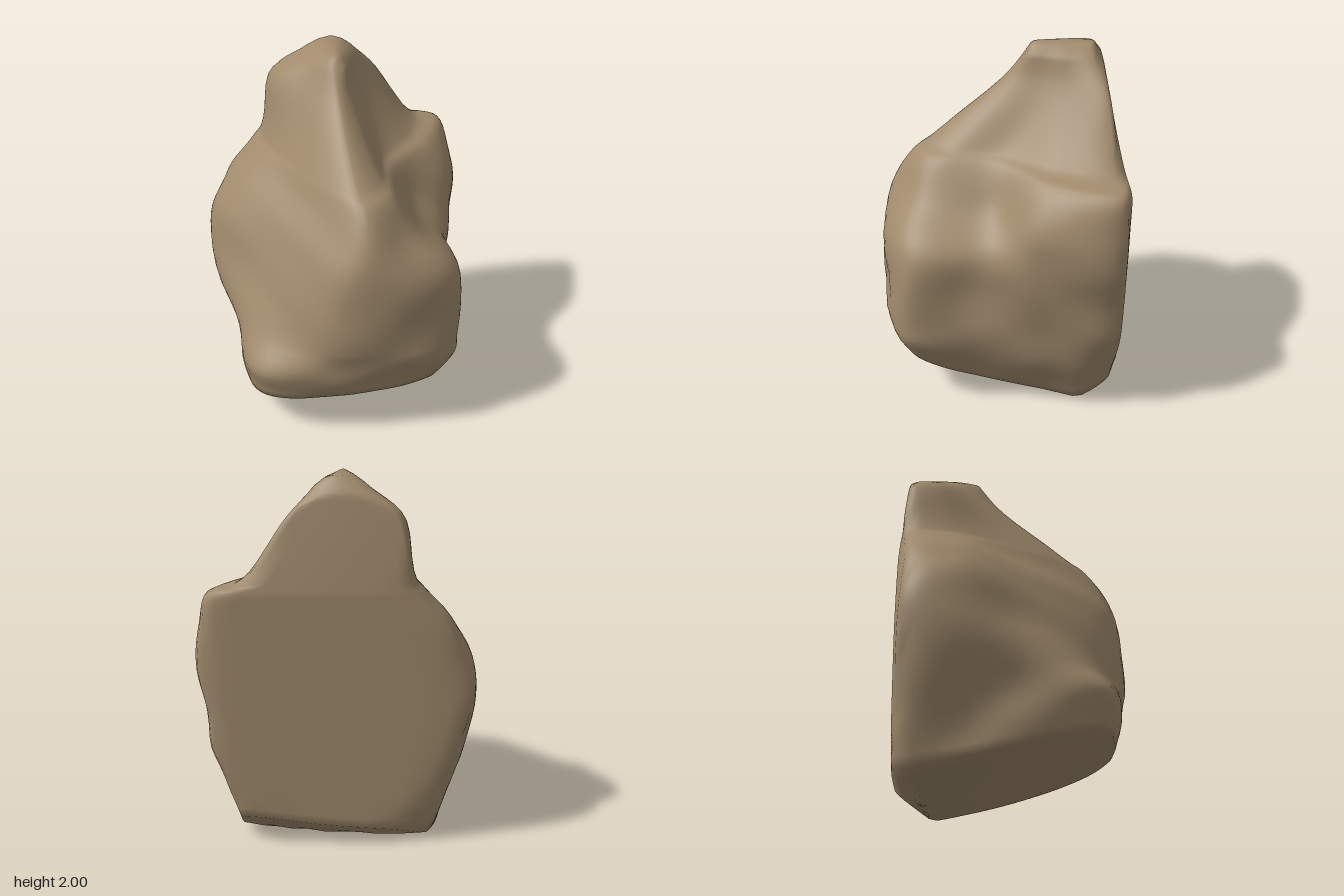
import * as THREE from 'three';

// Height of the underside: lowest near the back, rising toward the front and sides
const underside = (x, z) => {
  const t = z + 0.45;
  return (t < 0 ? -0.75 * t : (0.1 * t + 0.15 * t * t) * (1 + 0.3 * x)) + 0.1 * x * x;
};

// Flat cleaved back, leaning forward above the shoulder, most on the right
const backPlane = (x, y) => -0.6 - 0.135 * x + Math.max(0, 0.14 + 0.15 * x) * Math.max(0, y - 1.4);

// Small weathering bumps
const bump = (x, y, z) =>
  0.01 * Math.sin(7 * x + 5 * y + 1) * Math.sin(6 * y - 8 * z) +
  0.007 * Math.sin(15 * x - 9 * z + 2) * Math.sin(13 * y + 6 * x);

// Cross-sections as x, z pairs: back left, left, front left, front,
// front right, right gully, right shoulder, back right
const heights = [0.33, 0.75, 1.0, 1.2, 1.4, 1.46, 1.8, 1.95];
const sections = [
  [-0.57, -0.5, -0.61, -0.1, -0.48, 0.56, -0.02, 0.66, 0.61, 0.54, 0.61, 0.1, 0.63, -0.25, 0.57, -0.66],
  [-0.69, -0.49, -0.73, -0.2, -0.44, 0.33, -0.04, 0.67, 0.62, 0.52, 0.61, 0.15, 0.67, -0.22, 0.65, -0.67],
  [-0.67, -0.48, -0.7, -0.2, -0.39, 0.26, 0, 0.66, 0.61, 0.49, 0.59, 0.08, 0.7, -0.2, 0.68, -0.67],
  [-0.6, -0.48, -0.6, -0.2, -0.3, 0.21, 0.08, 0.61, 0.38, 0.46, 0.43, 0.05, 0.67, -0.2, 0.68, -0.67],
  [-0.43, -0.52, -0.43, -0.25, -0.25, 0.07, 0.09, 0.5, 0.25, 0.38, 0.33, 0, 0.55, -0.26, 0.65, -0.65],
  [-0.39, -0.53, -0.39, -0.3, -0.23, 0.03, 0.06, 0.41, 0.2, 0.29, 0.27, -0.05, 0.43, -0.3, 0.48, -0.62],
  [-0.32, -0.53, -0.32, -0.35, -0.19, -0.19, 0, 0, 0.06, -0.04, 0.12, -0.2, 0.18, -0.35, 0.24, -0.56],
  [-0.13, -0.48, -0.14, -0.35, -0.1, -0.22, -0.02, -0.12, 0.05, -0.13, 0.09, -0.25, 0.11, -0.35, 0.1, -0.48],
];

function rockGeometry() {
  const around = 72, up = 44;

  // Vertical guide curves through the sections, starting at a narrower foot
  const footWidth = [0.82, 0.92, 0.95, 1, 0.84, 0.82, 0.8, 0.84];
  const guides = footWidth.map((width, k) => {
    const pts = sections.map((s, i) => new THREE.Vector3(s[2 * k], heights[i], s[2 * k + 1]));
    pts.unshift(new THREE.Vector3(pts[0].x * width, 0, pts[0].z * 0.93));
    return new THREE.CatmullRomCurve3(pts, false, 'centripetal');
  });

  // Body rows
  const rows = [];
  for (let j = 0; j <= up; j++) {
    const ring = new THREE.CatmullRomCurve3(guides.map((g) => g.getPoint(j / up)), true, 'centripetal');
    rows.push(Array.from({ length: around }, (_, i) => {
      const p = ring.getPoint(i / around);
      const zBack = backPlane(p.x, p.y);
      if (p.z > zBack + 0.04) {
        const s = 1 + bump(p.x, p.y, p.z) / Math.max(0.3, Math.hypot(p.x, p.z));
        p.x *= s;
        p.z *= s;
      }
      p.z = Math.max(p.z, zBack);
      if (p.y < 0.6) p.y += underside(p.x, p.z) * (1 - p.y / 0.6);
      return p;
    }));
  }

  // Underside rows shrinking to the resting point
  const foot = rows[0];
  for (const s of [0.8, 0.5, 0.2]) {
    rows.unshift(foot.map((p) => {
      const x = p.x * s, z = -0.4 + (p.z + 0.4) * s;
      return new THREE.Vector3(x, underside(x, z), z);
    }));
  }

  // Summit rows closing into a short ridge
  const crown = rows[rows.length - 1];
  for (const [s, y] of [[0.6, 1.985], [0.25, 2]]) {
    rows.push(crown.map((p) => new THREE.Vector3(p.x * s, y, -0.32 + (p.z + 0.32) * (0.75 + 0.25 * s))));
  }

  const pos = [], index = [];
  rows.flat().forEach((p) => pos.push(p.x, p.y, p.z));
  const bottom = pos.length / 3, top = bottom + 1;
  pos.push(0, 0, -0.4, 0, 2, -0.32);
  const last = (rows.length - 1) * around;
  for (let i = 0; i < around; i++) {
    const n = (i + 1) % around;
    for (let j = 0; j < rows.length - 1; j++) {
      const a = j * around, b = a + around;
      index.push(a + i, a + n, b + n, a + i, b + n, b + i);
    }
    index.push(bottom, n, i, top, last + i, last + n);
  }
  const geo = new THREE.BufferGeometry();
  geo.setAttribute('position', new THREE.Float32BufferAttribute(pos, 3));
  geo.setIndex(index);
  geo.computeVertexNormals();
  return geo;
}

export function createModel() {
  const group = new THREE.Group();
  group.name = 'boulder';
  const stone = new THREE.MeshStandardMaterial({ color: 0xa08a6c });
  stone.name = 'brown stone';
  const rock = new THREE.Mesh(rockGeometry(), stone);
  rock.name = 'rock';
  group.add(rock);
  return group;
}
